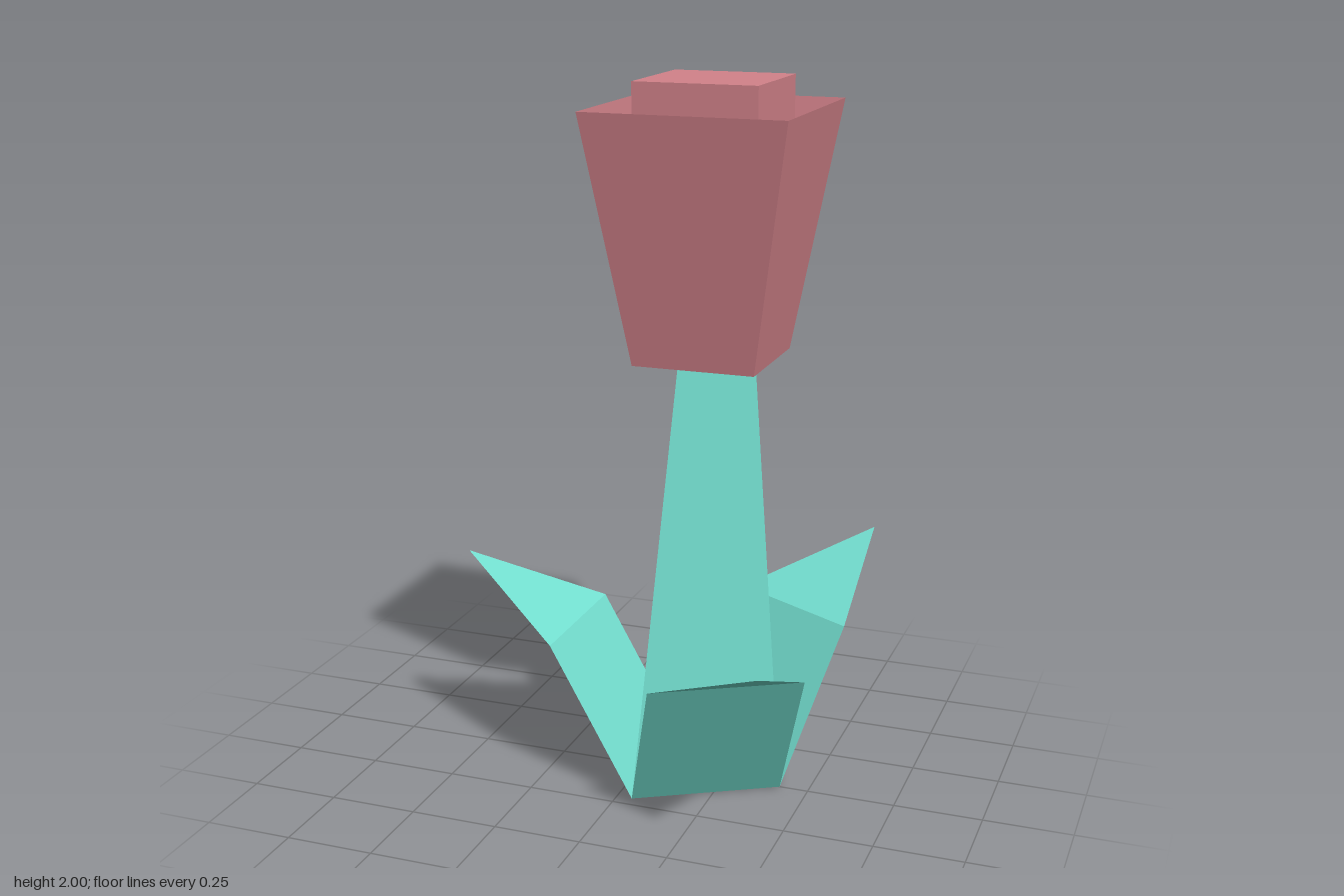
import * as THREE from 'three';

const STEM_X = 0.169, BLOOM_X = 0.2, STEM_R = 0.248, STEM_H = 1.25;

// Give every face its own normal
function facet(geometry) {
  const g = geometry.index ? geometry.toNonIndexed() : geometry;
  g.computeVertexNormals();
  return g;
}

// One leaf pointing to -x: a rising quad and a pointed tip
function leafGeometry() {
  const base = -STEM_R / 2, w = 0.215;
  const points = [
    base, 0, w, base, 0, -w,
    -0.369, 0.43, w, -0.369, 0.43, -w,
    -0.714, 0.6, 0,
  ];
  const g = new THREE.BufferGeometry();
  g.setAttribute('position', new THREE.Float32BufferAttribute(points, 3));
  g.setIndex([0, 1, 3, 0, 3, 2, 2, 3, 4]);
  return facet(g);
}

export function createModel() {
  const green = new THREE.MeshStandardMaterial({ color: 0x74e0d1, flatShading: true, side: THREE.DoubleSide });
  green.name = 'leaf green';
  const pink = new THREE.MeshStandardMaterial({ color: 0xd2828a, flatShading: true, side: THREE.DoubleSide });
  pink.name = 'petal pink';

  const model = new THREE.Group();
  model.name = 'flower';
  const add = (name, geometry, material, x, y) => {
    const mesh = new THREE.Mesh(geometry, material);
    mesh.name = name;
    mesh.position.set(x, y, 0);
    model.add(mesh);
    return mesh;
  };

  // Three-sided tapering stem that leans slightly towards the bloom
  const stem = new THREE.CylinderGeometry(0.123, STEM_R, STEM_H, 3, 1, false, Math.PI / 2);
  stem.translate(0, STEM_H / 2, 0);
  stem.applyMatrix4(new THREE.Matrix4().set(
    1, (BLOOM_X - STEM_X) / STEM_H, 0, 0,
    0, 1, 0, 0,
    0, 0, 1, 0,
    0, 0, 0, 1));
  add('stem', facet(stem), green, STEM_X, 0);

  // Three leaves, one from each side of the stem's foot
  const leaf = leafGeometry();
  for (let i = 0; i < 3; i++) {
    add('leaf' + (i + 1), leaf, green, STEM_X, 0).rotation.y = i * Math.PI * 2 / 3;
  }

  // Open square cup of petals
  const cup = new THREE.CylinderGeometry(0.28 * Math.SQRT2, 0.17 * Math.SQRT2, 0.68, 4, 1, true, Math.PI / 4);
  add('petalCup', facet(cup), pink, BLOOM_X, STEM_H + 0.34);

  // Square heart standing inside the cup
  add('bloomHeart', new THREE.BoxGeometry(0.34, 0.75, 0.34), pink, BLOOM_X, STEM_H + 0.375);

  return model;
}
